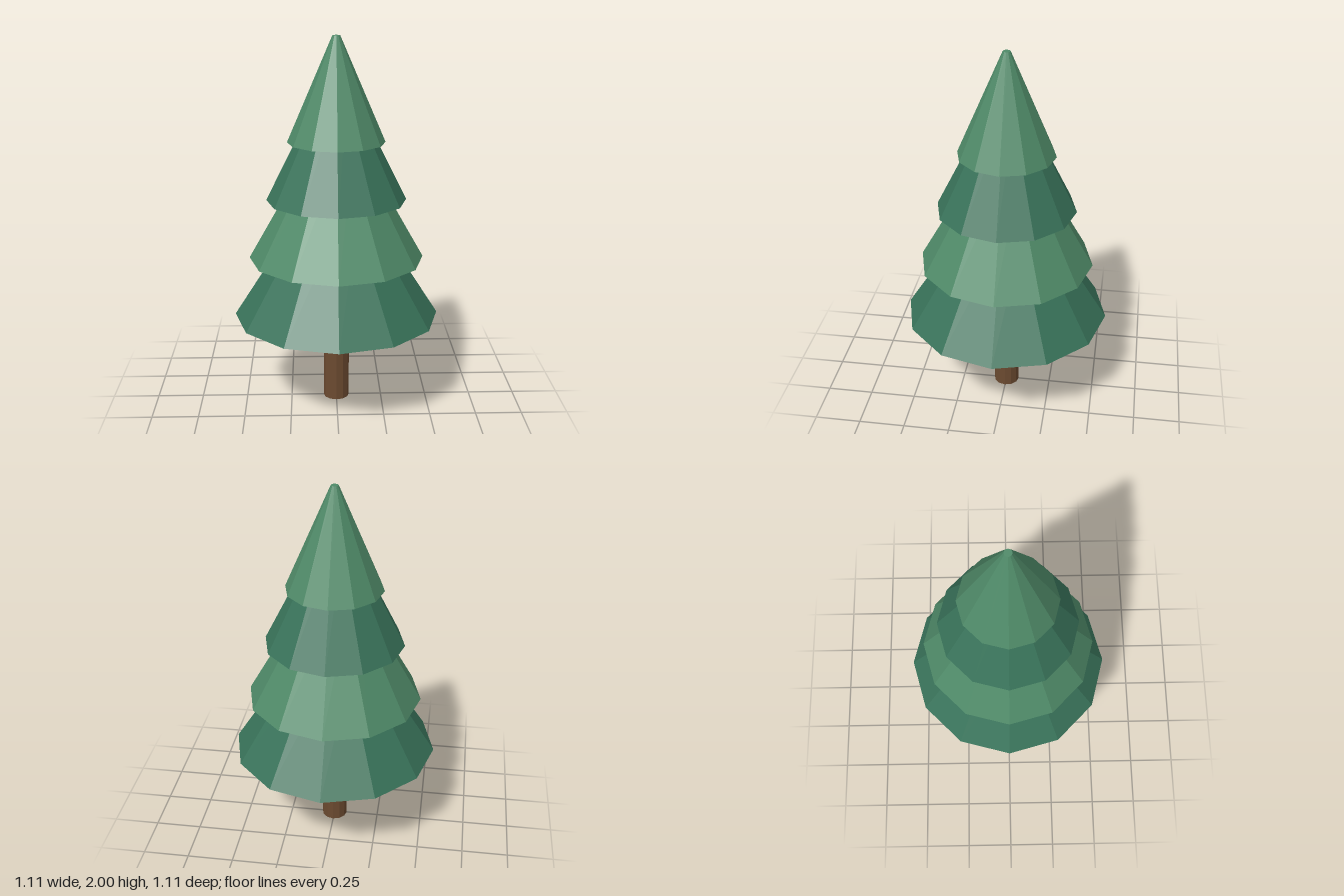
import * as THREE from 'three';

const SIDES = 12;

function frustum(name, topRadius, bottomRadius, bottomY, topY, color) {
  const height = topY - bottomY;
  const mesh = new THREE.Mesh(
    new THREE.CylinderGeometry(topRadius, bottomRadius, height, SIDES),
    new THREE.MeshStandardMaterial({ color, flatShading: true })
  );
  mesh.name = name;
  mesh.position.y = bottomY + height / 2;
  return mesh;
}

export function createModel() {
  const tree = new THREE.Group();
  tree.name = 'pineTree';

  // Trunk, ending just inside the lowest tier
  tree.add(frustum('trunk', 0.07, 0.07, 0, 0.55, 0x6b4a30));

  // Foliage tiers, bottom to top, each tucked into the one above
  const dark = 0x39735a, light = 0x4f8a68;
  const tiers = [
    // top radius, bottom radius, bottom y, top y, color
    [0.2, 0.553, 0.495, 1.045, dark],
    [0.155, 0.468, 0.82, 1.37, light],
    [0.095, 0.372, 1.14, 1.69, dark],
    [0.02, 0.258, 1.45, 2, light],
  ];
  tiers.forEach((tier, i) => tree.add(frustum(`foliageTier${i + 1}`, ...tier)));

  return tree;
}
